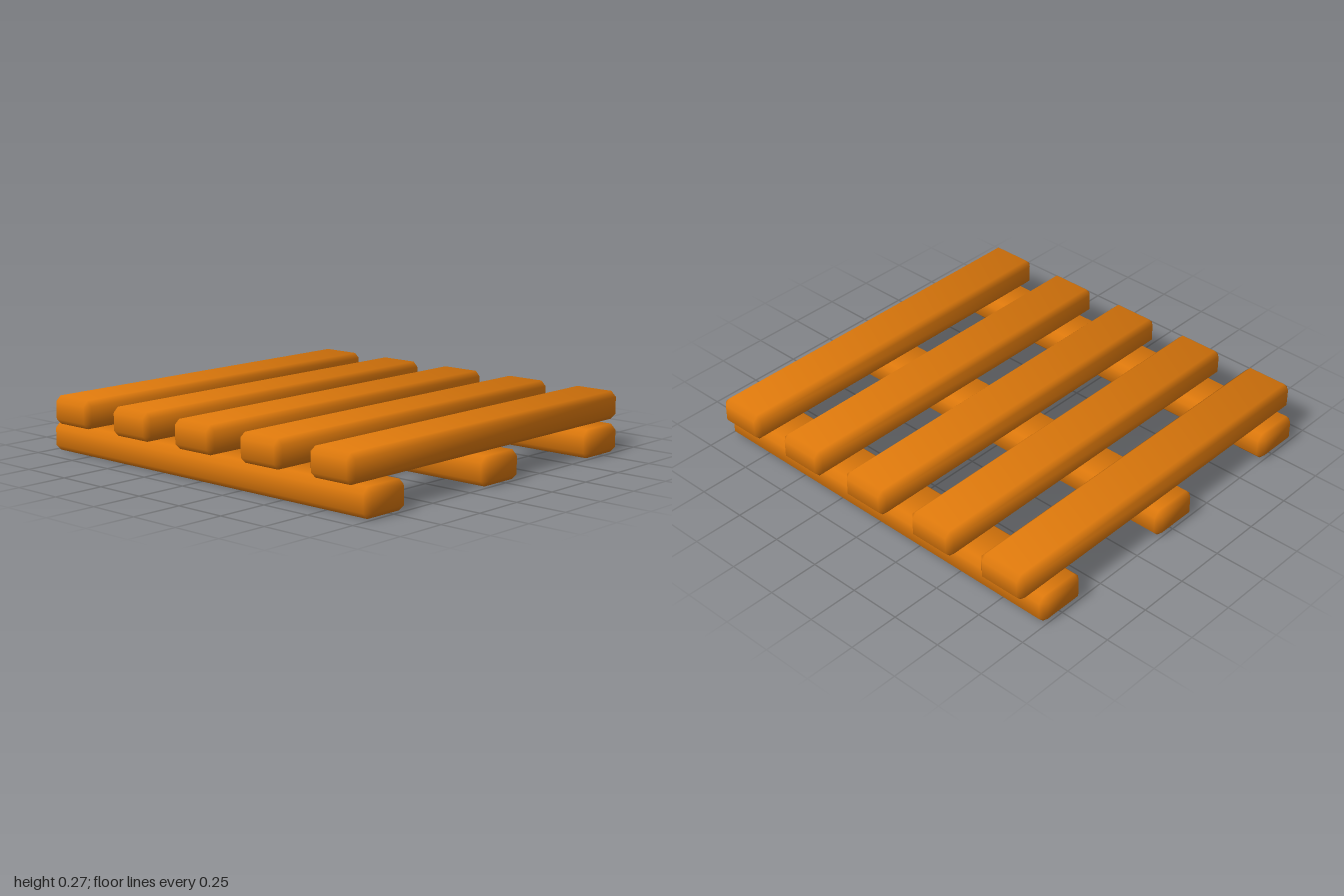
import * as THREE from 'three';
import { ConvexGeometry } from 'three/addons/geometries/ConvexGeometry.js';

const BEVEL = 0.026;
const THICK = 0.135;
const WIDTH = 0.248;

// Chamfered beam whose normals blend softly across the bevels
function beamGeometry(w, h, d) {
  const half = [w / 2, h / 2, d / 2];
  const points = [];
  for (const sx of [-1, 1]) for (const sy of [-1, 1]) for (const sz of [-1, 1]) {
    for (let axis = 0; axis < 3; axis++) {
      const p = [sx, sy, sz].map((s, i) => s * (half[i] - (i === axis ? 0 : BEVEL)));
      points.push(new THREE.Vector3(...p));
    }
  }
  const geometry = new ConvexGeometry(points);
  const pos = geometry.attributes.position;
  const normal = geometry.attributes.normal;
  const n = new THREE.Vector3();
  for (let v = 0; v < pos.count; v++) {
    const p = [pos.getX(v), pos.getY(v), pos.getZ(v)];
    // each corner point leans mostly toward the face it lies on
    n.set(...p.map((c, i) => Math.sign(c) * (half[i] - Math.abs(c) < BEVEL / 2 ? 2.8 : 1.09)));
    n.normalize();
    normal.setXYZ(v, n.x, n.y, n.z);
  }
  return geometry;
}

export function createModel() {
  const model = new THREE.Group();
  model.name = 'pallet';
  const wood = new THREE.MeshStandardMaterial({ color: 0xe07a0c });
  wood.name = 'orange wood';

  // Three runners lying on the ground, left to right
  const runnerGeometry = beamGeometry(2, THICK, WIDTH);
  [-0.745, 0.02, 0.785].forEach((z, i) => {
    const runner = new THREE.Mesh(runnerGeometry, wood);
    runner.name = `runner${i + 1}`;
    runner.position.set(0, THICK / 2, z);
    model.add(runner);
  });

  // Five top slats, front to back
  const slatGeometry = beamGeometry(WIDTH, THICK, 1.896);
  for (let i = 0; i < 5; i++) {
    const slat = new THREE.Mesh(slatGeometry, wood);
    slat.name = `slat${i + 1}`;
    slat.position.set((i - 2) * 0.41, 0.139 + THICK / 2, 0);
    model.add(slat);
  }
  return model;
}
